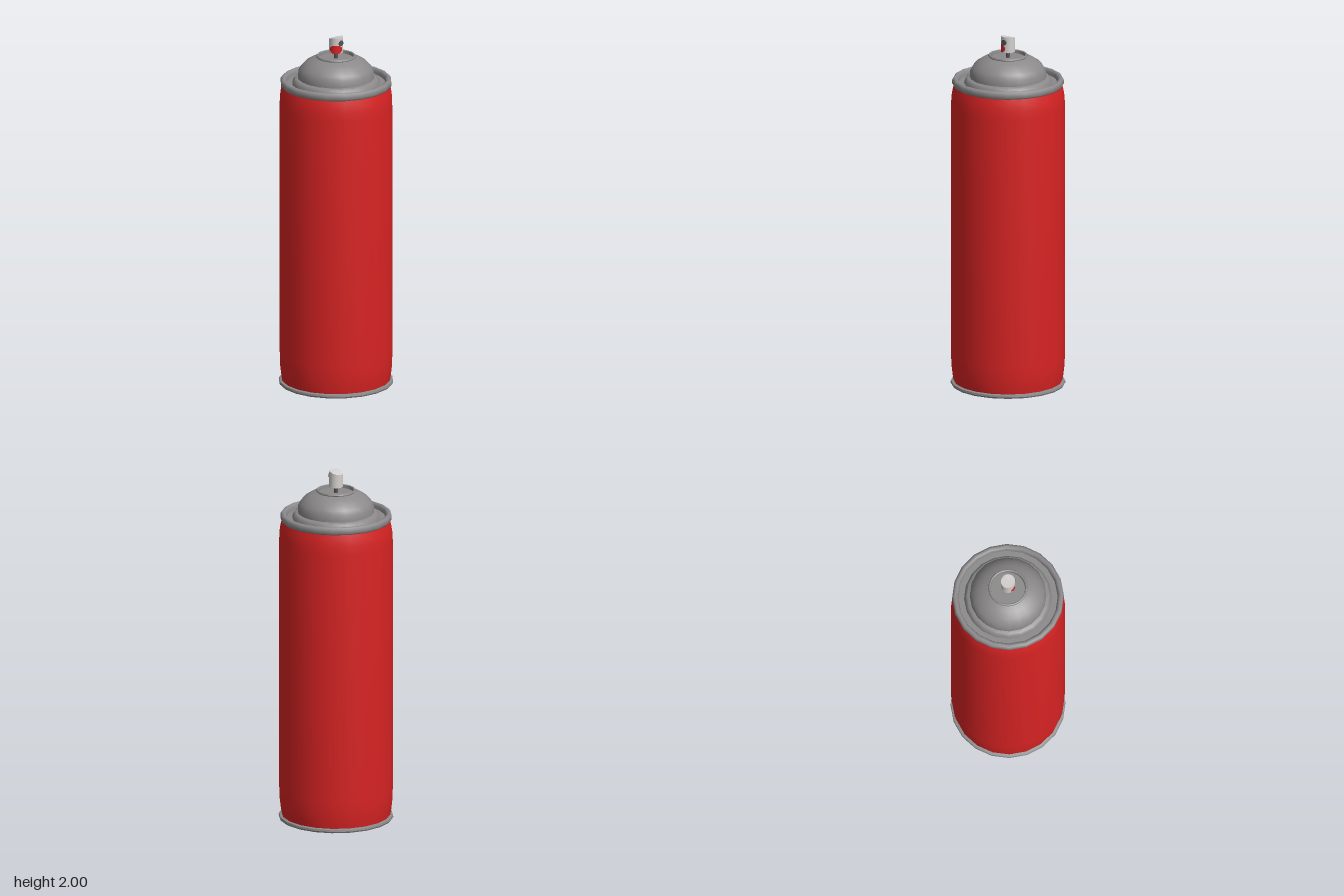
import * as THREE from 'three';
import { toCreasedNormals } from 'three/addons/utils/BufferGeometryUtils.js';

const SIDES = 20;

function material(name, color) {
  const m = new THREE.MeshStandardMaterial({ color });
  m.name = name;
  return m;
}

// Revolved part from [radius, height] pairs, listed upwards on the outside
function turned(name, profile, mat, crease = 0.6) {
  const points = profile.map(([r, y]) => new THREE.Vector2(r, y));
  const geo = toCreasedNormals(new THREE.LatheGeometry(points, SIDES), crease);
  const mesh = new THREE.Mesh(geo, mat);
  mesh.name = name;
  return mesh;
}

export function createModel() {
  const red = material('red paint', 0xd82323);
  const steel = material('grey metal', 0x8b8989);
  const plastic = material('pale plastic', 0xd4d0d0);
  const dark = material('dark grey', 0x555353);
  red.side = steel.side = THREE.DoubleSide;

  const can = new THREE.Group();
  can.name = 'sprayCan';

  // Painted body, drawn in slightly at both ends
  can.add(turned('body', [
    [0.3, 0.015], [0.306, 0.05], [0.313, 0.11], [0.315, 0.18],
    [0.315, 1.6], [0.313, 1.65], [0.307, 1.69], [0.297, 1.73],
  ], red));

  // Bottom seam with a closed, slightly recessed base
  can.add(turned('base', [
    [0, 0.008], [0.3, 0.008], [0.304, 0], [0.314, 0],
    [0.318, 0.008], [0.316, 0.018], [0.298, 0.022],
  ], steel));

  // Rolled top rim, gutter inside it, and the dome
  can.add(turned('rim', [
    [0.294, 1.716], [0.303, 1.718], [0.309, 1.727], [0.309, 1.747],
    [0.303, 1.757], [0.293, 1.761], [0.283, 1.757], [0.277, 1.747], [0.275, 1.725],
  ], steel, 0.9));
  can.add(turned('dome', [
    [0.275, 1.73], [0.243, 1.73], [0.238, 1.75], [0.228, 1.761], [0.212, 1.765],
    [0.21, 1.8], [0.196, 1.825], [0.172, 1.85], [0.14, 1.87], [0.108, 1.882],
  ], steel));

  // Valve cup: small rolled lip around a recessed plate
  can.add(turned('valveCup', [
    [0.106, 1.878], [0.11, 1.886], [0.107, 1.893], [0.102, 1.895],
    [0.097, 1.892], [0.095, 1.875], [0, 1.875],
  ], steel));

  // Stem carrying the spray button
  const stem = new THREE.Mesh(new THREE.CylinderGeometry(0.01, 0.01, 0.05, 12), dark);
  stem.name = 'stem';
  stem.position.y = 1.895;
  can.add(stem);

  // Spray button, its top sloping down towards -x
  const buttonGeo = new THREE.CylinderGeometry(0.039, 0.039, 0.09, SIDES);
  const p = buttonGeo.attributes.position;
  for (let i = 0; i < p.count; i++) {
    if (p.getY(i) > 0) p.setY(i, 0.045 - 0.016 * Math.min(1, Math.max(0, (0.01 - p.getX(i)) / 0.049)));
  }
  const button = new THREE.Mesh(toCreasedNormals(buttonGeo, 0.6), plastic);
  button.name = 'sprayButton';
  button.position.y = 1.955;
  can.add(button);

  // Round red mark wrapped on the button between +x and +z
  const markGeo = new THREE.CylinderGeometry(0.0402, 0.0402, 0.046, 8, 1, true, Math.PI / 4 - 1, 2);
  const q = markGeo.attributes.position;
  for (let i = 0; i < q.count; i++) {
    const t = Math.abs(Math.atan2(q.getX(i), q.getZ(i)) - Math.PI / 4);
    q.setY(i, q.getY(i) * Math.min(1, 0.35 + 1.3 * (1 - t)));
  }
  const mark = new THREE.Mesh(markGeo, red);
  mark.name = 'directionMark';
  mark.position.y = 1.934;
  can.add(mark);

  // Nozzle insert on +x
  const nozzle = new THREE.Mesh(new THREE.CylinderGeometry(0.016, 0.016, 0.012, 12), dark);
  nozzle.name = 'nozzle';
  nozzle.rotation.z = -Math.PI / 2;
  nozzle.position.set(0.036, 1.969, 0);
  can.add(nozzle);

  return can;
}
